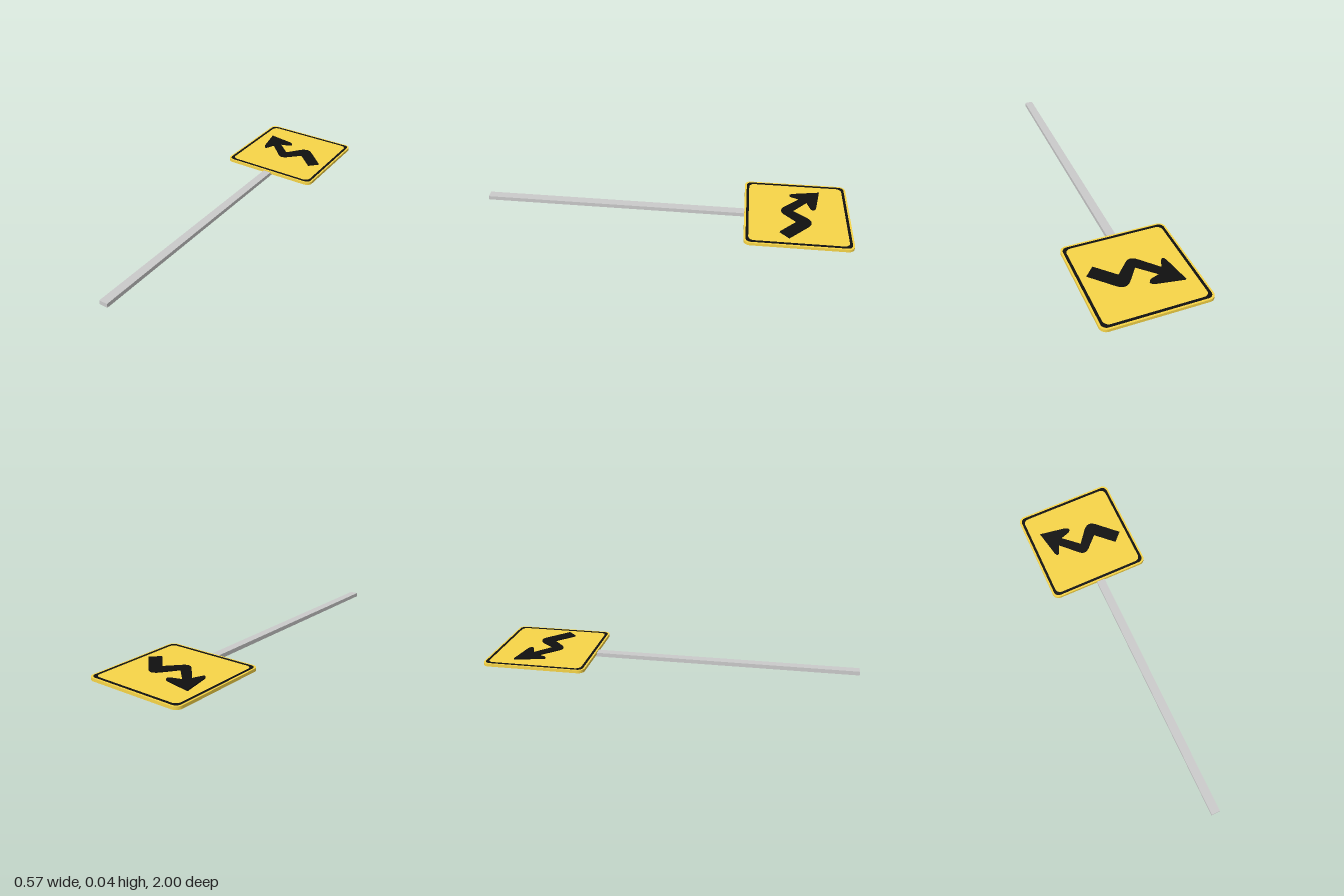
import * as THREE from 'three';

const PANEL_Z = -0.717;

// Rounded square centred on the origin
function roundedSquare(half, r, Type = THREE.Shape) {
  const s = new Type();
  const c = half - r;
  s.absarc(c, c, r, 0, Math.PI / 2);
  s.absarc(-c, c, r, Math.PI / 2, Math.PI);
  s.absarc(-c, -c, r, Math.PI, Math.PI * 1.5);
  s.absarc(c, -c, r, Math.PI * 1.5, Math.PI * 2);
  s.closePath();
  return s;
}

// Lay an extruded outline flat, from height y0 to y1
function plate(name, shape, y0, y1, z, material) {
  const geo = new THREE.ExtrudeGeometry(shape, { depth: y1 - y0, bevelEnabled: false, curveSegments: 8 });
  geo.rotateX(-Math.PI / 2);
  const mesh = new THREE.Mesh(geo, material);
  mesh.name = name;
  mesh.position.set(0, y0, z);
  return mesh;
}

// Winding arrow outline: x across, y towards the top of the panel
function arrowShape() {
  const s = new THREE.Shape();
  s.moveTo(-0.203, 0.849);
  s.lineTo(-0.055, 0.824);
  s.quadraticCurveTo(-0.02, 0.81, -0.05, 0.792);
  s.lineTo(-0.103, 0.775);
  s.lineTo(-0.013, 0.692);
  s.lineTo(0.045, 0.768);
  s.quadraticCurveTo(0.082, 0.812, 0.122, 0.77);
  s.lineTo(0.224, 0.669);
  s.lineTo(0.177, 0.621);
  s.lineTo(0.082, 0.714);
  s.lineTo(0.022, 0.653);
  s.quadraticCurveTo(-0.013, 0.613, -0.048, 0.653);
  s.lineTo(-0.13, 0.738);
  s.lineTo(-0.149, 0.694);
  s.quadraticCurveTo(-0.164, 0.67, -0.174, 0.702);
  s.closePath();
  return s;
}

export function createModel() {
  const group = new THREE.Group();
  group.name = 'roadSign';
  const grey = new THREE.MeshStandardMaterial({ color: 0xcccccc });
  const yellow = new THREE.MeshStandardMaterial({ color: 0xf8d648 });
  const black = new THREE.MeshStandardMaterial({ color: 0x101010 });

  // Post lying along z, ending behind the panel
  const post = new THREE.Mesh(new THREE.BoxGeometry(0.046, 0.022, 1.74), grey);
  post.name = 'post';
  post.position.set(0, 0.011, 0.13);
  group.add(post);

  // Yellow panel with rounded corners
  group.add(plate('panel', roundedSquare(0.283, 0.035), 0.012, 0.028, PANEL_Z, yellow));

  // Thin black border inlaid just inside the edge
  const border = roundedSquare(0.273, 0.028);
  border.holes.push(roundedSquare(0.259, 0.03, THREE.Path));
  group.add(plate('border', border, 0.0275, 0.029, PANEL_Z, black));

  // Raised arrow
  group.add(plate('arrow', arrowShape(), 0.0275, 0.035, 0, black));

  return group;
}
